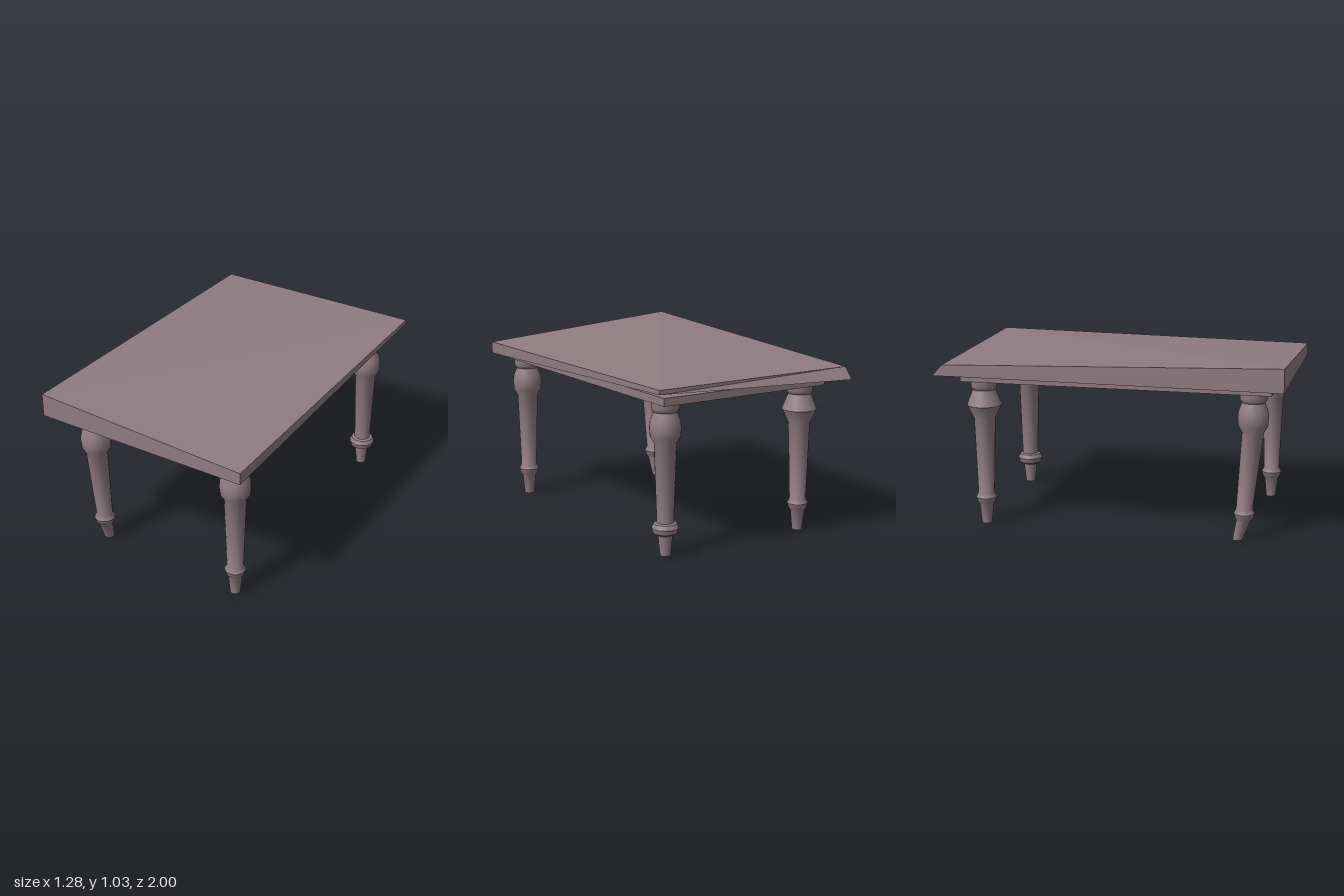
import * as THREE from 'three';
import { toCreasedNormals } from 'three/addons/utils/BufferGeometryUtils.js';

const material = new THREE.MeshStandardMaterial({ color: 0x8f7c82 });

function addMesh(parent, geometry, name) {
  const mesh = new THREE.Mesh(geometry, material);
  mesh.name = name;
  parent.add(mesh);
  return mesh;
}

// Warped slab: four bottom corners, then four top corners
// (order: front -x, front +x, back +x, back -x)
function tabletopGeometry() {
  const corners = [
    [-0.64, 0.9, 1], [0.62, 0.875, 1], [0.64, 0.94, -0.94], [-0.6, 0.9, -1],
    [-0.64, 1.035, 1], [0.62, 0.945, 1], [0.64, 0.965, -0.94], [-0.6, 0.965, -0.94],
  ];
  const faces = [[4, 5, 6, 7], [1, 0, 3, 2]]; // top, underside
  for (let i = 0; i < 4; i++) {
    const j = (i + 1) % 4;
    faces.push([i, j, j + 4, i + 4]);
  }
  const positions = [];
  for (const [a, b, c, d] of faces) {
    for (const k of [a, b, c, a, c, d]) positions.push(...corners[k]);
  }
  const g = new THREE.BufferGeometry();
  g.setAttribute('position', new THREE.Float32BufferAttribute(positions, 3));
  g.computeVertexNormals();
  return g;
}

// Turned leg; bulb and ring shapes vary, and the foot can be swept in z
function legGeometry({ pointedBulb = false, ringRadius = 0.06, sweep = false }) {
  const bulb = pointedBulb
    ? [[0.062, 0.63], [0.1, 0.71], [0.085, 0.75], [0.065, 0.8]]
    : [[0.062, 0.63], [0.083, 0.665], [0.087, 0.71], [0.084, 0.75], [0.065, 0.8]];
  const profile = [
    [0, 0], [0.029, 0], [0.041, 0.115], [ringRadius - 0.008, 0.13],
    [ringRadius, 0.158], [ringRadius - 0.012, 0.182], [0.047, 0.187],
    ...bulb,
    [0.073, 0.81], [0.077, 0.82], [0.077, 0.858], [0, 0.858],
  ];
  const g = new THREE.LatheGeometry(profile.map(([r, y]) => new THREE.Vector2(r, y)), 20);
  if (sweep) {
    const p = g.attributes.position;
    for (let i = 0; i < p.count; i++) {
      const y = p.getY(i);
      const shift = y < 0.13
        ? THREE.MathUtils.mapLinear(y, 0, 0.13, -0.075, -0.04)
        : -0.04 * THREE.MathUtils.clamp((0.63 - y) / 0.45, 0, 1);
      p.setZ(i, p.getZ(i) + shift);
    }
  }
  return toCreasedNormals(g, 0.6);
}

export function createModel() {
  const table = new THREE.Group();
  table.name = 'table';

  addMesh(table, tabletopGeometry(), 'tabletop');

  // Shallow apron under the top
  const apron = addMesh(table, new THREE.BoxGeometry(1.08, 0.045, 1.78), 'apron');
  apron.position.set(0.02, 0.8775, 0.03);

  // Four legs, each with its own irregularity
  const legs = [
    ['frontLeftLeg', 0.478, 0.81, {}],
    ['frontRightLeg', -0.433, 0.81, { sweep: true }],
    ['backLeftLeg', 0.478, -0.747, { ringRadius: 0.076 }],
    ['backRightLeg', -0.433, -0.747, { pointedBulb: true }],
  ];
  for (const [name, x, z, shape] of legs) {
    addMesh(table, legGeometry(shape), name).position.set(x, 0, z);
  }
  return table;
}
